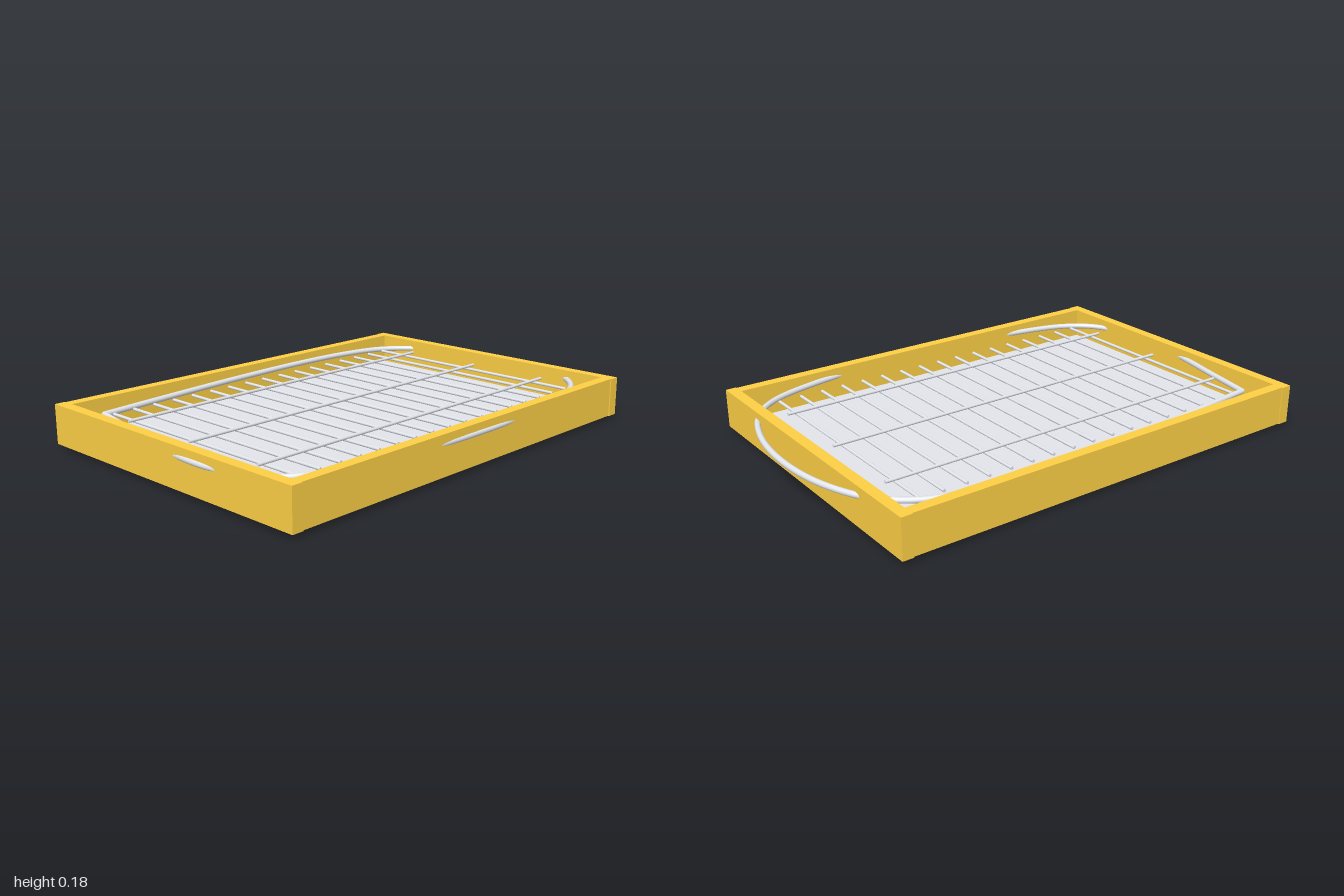
import * as THREE from 'three';

export function createModel() {
  const model = new THREE.Group();
  const wood = new THREE.MeshStandardMaterial({ color: 0xfdcf45 });
  const metal = new THREE.MeshStandardMaterial({ color: 0xe2e5eb });

  const add = (parent, name, geometry, material, x, y, z) => {
    const mesh = new THREE.Mesh(geometry, material);
    mesh.name = name;
    mesh.position.set(x, y, z);
    parent.add(mesh);
    return mesh;
  };
  const box = (parent, name, material, [w, h, d], [x, y, z]) =>
    add(parent, name, new THREE.BoxGeometry(w, h, d), material, x, y, z);

  // Wooden frame: side boards run slightly past the front and back boards
  const x0 = -0.994, x1 = 0.905, t = 0.046, halfZ = 0.679, inset = 0.005;
  const midX = (x0 + x1) / 2, bottom = 0.017, top = 0.18;
  const h = top - bottom, midY = (top + bottom) / 2;
  const frame = new THREE.Group();
  frame.name = 'frame';
  model.add(frame);
  box(frame, 'rightBoard', wood, [t, h, 2 * halfZ], [x0 + t / 2, midY, 0]);
  box(frame, 'leftBoard', wood, [t, h, 2 * halfZ], [x1 - t / 2, midY, 0]);
  for (const [name, s] of [['frontBoard', 1], ['backBoard', -1]]) {
    box(frame, name, wood, [x1 - x0 - 2 * t, h, t], [midX, midY, s * (halfZ - inset - t / 2)]);
  }

  // Base plate, let into the frame and standing a little below it
  const plate = 0.05;
  box(model, 'basePlate', metal, [1.815, plate, 1.274], [midX, plate / 2, 0]);

  // Grill: thin rods front to back, with three cross bars on top
  const grill = new THREE.Group();
  grill.name = 'grill';
  model.add(grill);
  const r = 0.0065, count = 17;
  const rodGeometry = new THREE.CylinderGeometry(r, r, 1.065, 12).rotateX(Math.PI / 2);
  for (let i = 0; i < count; i++) {
    const x = THREE.MathUtils.lerp(-0.826, 0.737, i / (count - 1));
    add(grill, 'grillRod', rodGeometry, metal, x, 0.134, 0);
  }
  const barGeometry = new THREE.CylinderGeometry(r, r, 1.645, 12).rotateZ(Math.PI / 2);
  for (const z of [-0.372, 0, 0.372]) {
    add(grill, 'crossBar', barGeometry, metal, -0.0425, 0.145, z);
  }

  // Bent wire rim: one rounded loop whose two ends meet at a sharp back corner
  const rimPath = [
    [-0.865, -0.535], [-0.5, -0.572], [-0.13, -0.603], [0.28, -0.618], [0.56, -0.6],
    [0.745, -0.55], [0.875, -0.435], [0.96, -0.24], [0.988, 0], [0.958, 0.24],
    [0.875, 0.435], [0.76, 0.543], [0.53, 0.617], [0.16, 0.663], [-0.045, 0.668],
    [-0.25, 0.663], [-0.55, 0.633], [-0.8, 0.57], [-0.91, 0.49], [-0.957, 0.41],
    [-0.985, 0.28], [-0.988, 0.14], [-0.958, -0.09], [-0.909, -0.32], [-0.865, -0.535],
  ].map(([x, z]) => new THREE.Vector3(x, 0, z));
  const wire = 0.012, rimY = 0.14;
  add(model, 'wireRim',
    new THREE.TubeGeometry(new THREE.CatmullRomCurve3(rimPath), 160, wire, 16),
    metal, 0, rimY, 0);
  add(model, 'rimCorner', new THREE.SphereGeometry(wire, 16, 10), metal, -0.865, rimY, -0.535);

  return model;
}
